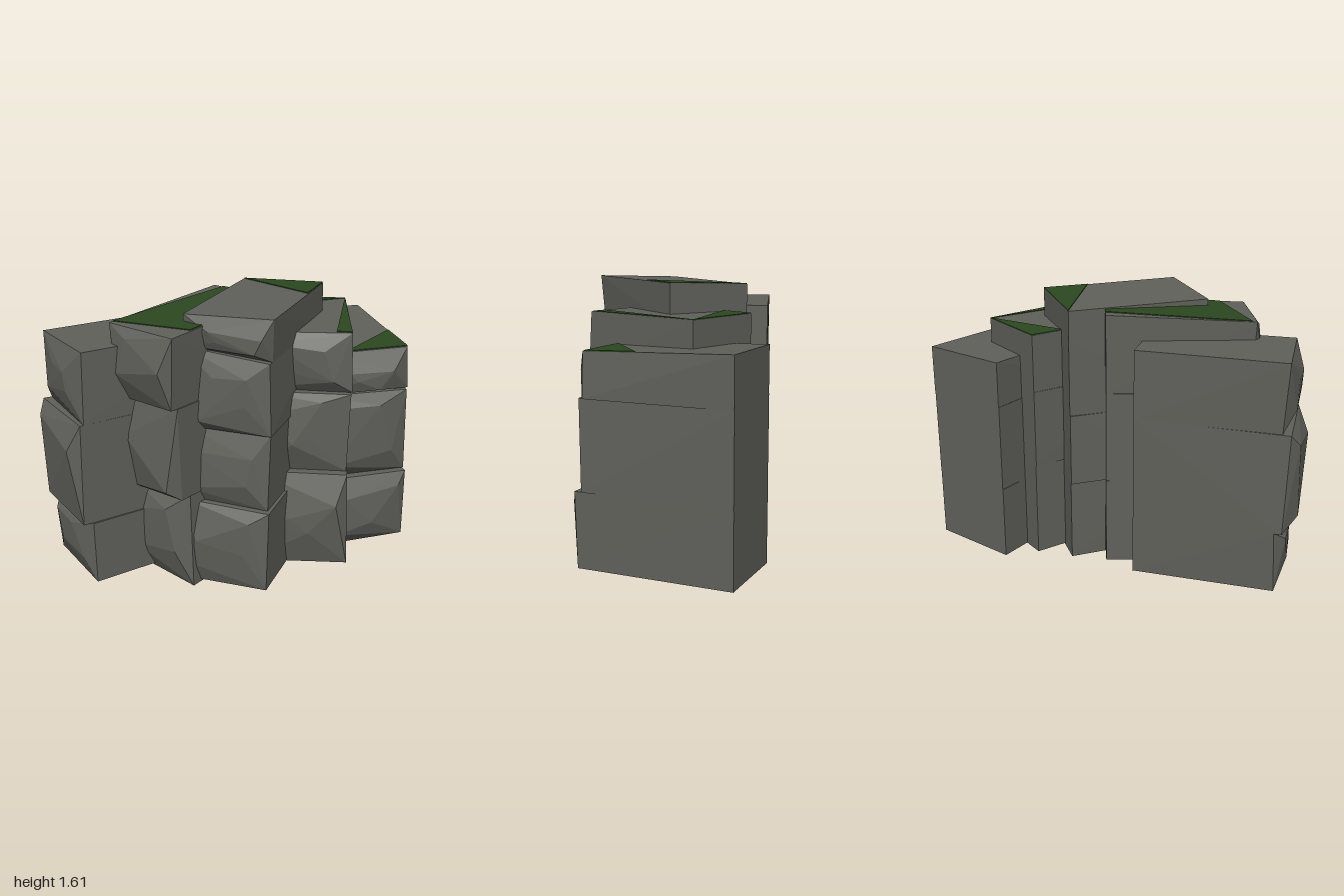
import * as THREE from 'three';
import { ConvexGeometry } from 'three/addons/geometries/ConvexGeometry.js';

const stone = new THREE.MeshStandardMaterial({ color: 0x60605b });
stone.name = 'stone grey';
const mossGreen = new THREE.MeshStandardMaterial({ color: 0x2c4820 });
mossGreen.name = 'moss green';

const BULGE = 0.07;

// Small seeded random source, -amount to amount
let seed = 7;
const wobble = (amount) => {
  seed = (seed * 16807) % 2147483647;
  return (seed / 2147483647 * 2 - 1) * amount;
};

// Height of a tilted seam at a local position
const seamHeight = (seam, x, z, width, depth) =>
  seam.y + seam.tilt * x / width + seam.rise * (1 - z / depth);

// Stone with a flat back, flaring sides and a rough, bulging front
function makeStone(width, depth, flare, bottom, top) {
  const points = [];
  const middle = (bottom.y + top.y) / 2;
  const half = (top.y - bottom.y) / 2;
  for (const sx of [-1, 1]) {
    for (const [seam, sy] of [[bottom, -1], [top, 1]]) {
      const x = sx * width / 2;
      points.push(new THREE.Vector3(x, seamHeight(seam, x, 0, width, depth), 0));
      const fx = x + sx * (flare + wobble(0.012));
      const fz = depth + wobble(0.015);
      points.push(new THREE.Vector3(fx, seamHeight(seam, fx, fz, width, depth), fz));
      // Worn point inside the front corner
      points.push(new THREE.Vector3(
        x * (0.52 + wobble(0.38)),
        middle + sy * half * (0.45 + wobble(0.38)),
        depth + BULGE * (0.8 + wobble(0.25)),
      ));
    }
  }
  return new THREE.Mesh(new ConvexGeometry(points), stone);
}

// Thin moss patch lying on the top stone; outline is u across, v from back to front
function makeMoss(outline, width, depth, flare, top) {
  const points = [];
  for (const [u, v] of outline) {
    const x = (u - 0.5) * (width + 2 * flare * v) * 0.985;
    const z = v * depth * 0.985;
    const y = seamHeight(top, x, z, width, depth);
    points.push(new THREE.Vector3(x, y - 0.002, z), new THREE.Vector3(x, y + 0.005, z));
  }
  return new THREE.Mesh(new ConvexGeometry(points), mossGreen);
}

// Column of stones standing between seams; x and z mark the middle of its back edge
function makeColumn({ x, z, angle, width, heights, depths, flare = 0.015, tilts = [], rise = 0, moss = [] }) {
  const column = new THREE.Group();
  column.position.set(x, 0, z);
  column.rotation.y = angle;
  const last = depths.length;
  const seams = heights.map((y, i) => ({ y, tilt: tilts[i] ?? 0, rise: i === last ? rise : 0 }));
  depths.forEach((depth, i) => {
    const mesh = makeStone(width, depth, flare, seams[i], seams[i + 1]);
    mesh.name = `stone${i + 1}`;
    mesh.position.x = i === last - 1 ? 0 : wobble(0.008);
    column.add(mesh);
  });
  moss.forEach((outline, i) => {
    const patch = makeMoss(outline, width, depths[last - 1], flare, seams[last]);
    patch.name = `mossPatch${i + 1}`;
    column.add(patch);
  });
  return column;
}

export function createModel() {
  const model = new THREE.Group();
  model.name = 'stoneWall';
  seed = 7;
  const add = (name, options) => {
    const column = makeColumn(options);
    column.name = name;
    model.add(column);
  };

  // Five columns fanned around a curve, from right to left
  add('outerRightColumn', {
    x: -0.254, z: 0.11, angle: -0.615, width: 0.48,
    heights: [0.04, 0.42, 1.02, 1.425],
    depths: [0.83, 0.88, 0.84],
  });
  add('innerRightColumn', {
    x: -0.02, z: -0.05, angle: -0.305, width: 0.45,
    heights: [0.01, 0.57, 1.12, 1.53],
    depths: [0.73, 0.81, 0.85],
    flare: 0.005,
    tilts: [-0.02, 0.02, 0.02],
    rise: 0.045,
    moss: [[[0, 0.99], [1, 0.84], [1, 0], [0.15, 0]]],
  });
  add('middleColumn', {
    x: 0.138, z: -0.3, angle: 0, width: 0.51,
    heights: [0.02, 0.51, 0.955, 1.39, 1.596],
    depths: [0.94, 0.88, 0.88, 0.86],
    flare: 0.005,
    tilts: [0.02, 0, 0.01, -0.04, 0.022],
    moss: [[[0, 0], [1, 0], [1, 0.33]]],
  });
  add('innerLeftColumn', {
    x: 0.21, z: -0.56, angle: 0.296, width: 0.48,
    heights: [0.03, 0.615, 1.09, 1.435],
    depths: [0.87, 0.81, 0.76],
    flare: 0.04,
    moss: [[[0, 0], [1, 0], [0, 0.28]], [[1, 0], [1, 0.99], [0.84, 0.99]]],
  });
  add('outerLeftColumn', {
    x: 0.21, z: -0.85, angle: 0.62, width: 0.516,
    heights: [0.045, 0.49, 1.015, 1.265],
    depths: [0.92, 0.89, 0.87],
    tilts: [0.02, 0.01, 0, 0.01],
    rise: 0.028,
    moss: [[[1, 0.64], [1, 0.99], [0.3, 0.99]]],
  });
  return model;
}
